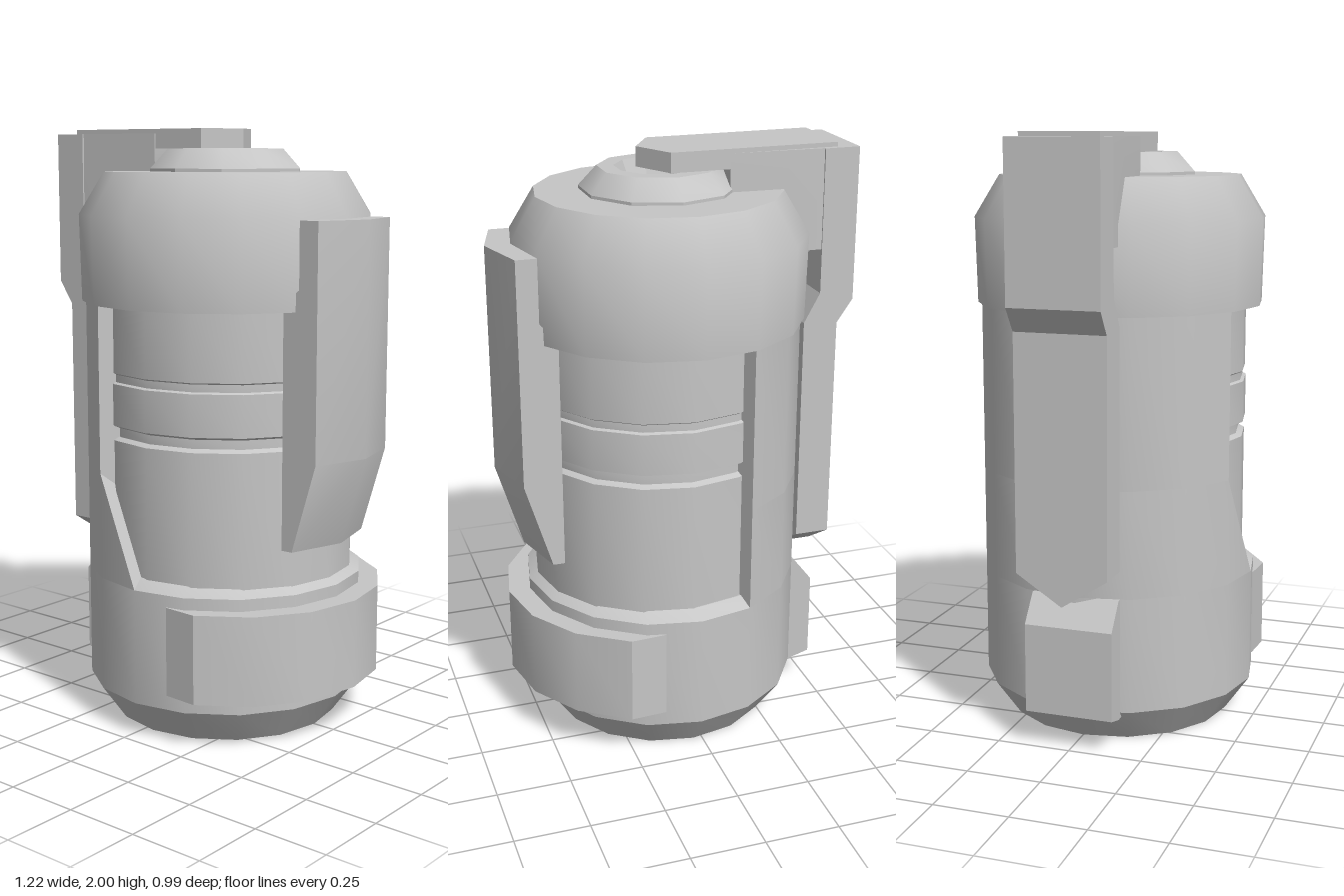
import * as THREE from 'three';
import { toCreasedNormals } from 'three/addons/utils/BufferGeometryUtils.js';

const AXIS = 0.03; // x of the body axis
const SEG = Math.PI / 8; // one facet of the 16-sided body
const BODY = 0.475; // radius of the base and shell

export function createModel() {
  const model = new THREE.Group();
  const grey = new THREE.MeshStandardMaterial({ color: 0xc6c6c6 });
  grey.name = 'grey metal';

  function add(name, geometry, x = 0, y = 0, crease = 0.5) {
    const mesh = new THREE.Mesh(toCreasedNormals(geometry, crease), grey);
    mesh.name = name;
    mesh.position.set(x, y, 0);
    model.add(mesh);
  }

  const lathe = (points, sides) =>
    new THREE.LatheGeometry(points.map(p => new THREE.Vector2(...p)), sides);

  // Moves every vertex by a rule
  function reshape(geometry, rule) {
    const pos = geometry.attributes.position;
    const v = new THREE.Vector3();
    for (let i = 0; i < pos.count; i++) {
      rule(v.fromBufferAttribute(pos, i));
      pos.setXYZ(i, v.x, v.y, v.z);
    }
    return geometry;
  }

  const extrude = (points, depth, steps = 1) => new THREE.ExtrudeGeometry(
    new THREE.Shape(points.map(p => new THREE.Vector2(...p))), { depth, steps, bevelEnabled: false });

  // Side outline in x and y, given a width along z
  const sideCut = (points, width, steps = 1) =>
    extrude(points, width, steps).translate(0, 0, -width / 2);

  // Floor outline in x and z, raised to a height
  const prism = (points, height) =>
    extrude(points.map(([x, z]) => [x, -z]), height).rotateX(-Math.PI / 2);

  // Pie wedge of facets; facet 0 is the front, facet 4 is +x
  function wedge(radius, from, to, height) {
    const points = [[0, 0]];
    for (let i = from; i <= to; i++) {
      points.push([radius * Math.sin(i * SEG), radius * Math.cos(i * SEG)]);
    }
    return prism(points, height);
  }

  // Body
  add('base', lathe([[0, 0], [0.39, 0], [BODY, 0.12], [BODY, 0.51], [0.43, 0.54], [0, 0.54]], 16), AXIS);
  add('core', lathe([[0.43, 0.5], [0.43, 0.98], [0.41, 0.99], [0.41, 1.02], [0.433, 1.03], [0.433, 1.17],
    [0.422, 1.175], [0.422, 1.2], [0.43, 1.205], [0.43, 1.45]], 16), 0.045);
  add('cap', lathe([[0, 1.43], [0.488, 1.43], [0.495, 1.72], [0.41, 1.86], [0, 1.86]], 16), AXIS, 0, 0.7);
  add('neck', lathe([[0.26, 1.85], [0.26, 1.87], [0.2, 1.935], [0.145, 1.935], [0.12, 1.875], [0, 1.875]], 10), AXIS);

  // Raised shell with a slanted lower front corner
  add('upperShell', wedge(BODY, 9, 15, 0.57), AXIS, 0.87);
  add('lowerShell', reshape(wedge(BODY, 9, 16, 0.36), v => {
    if (v.y > 0.3 && v.z > 0.1 && Math.abs(v.x) < 0.01) {
      v.x = -BODY * Math.sin(SEG);
      v.z = BODY * Math.cos(SEG);
    }
  }), AXIS, 0.51);

  // Band around the base, its ends blending into the body
  add('baseBand', reshape(wedge(0.5, 0, 8, 0.3), v => {
    if (Math.abs(v.x) < 0.01 && Math.abs(v.z) > 0.1) {
      v.x = 0.07;
      v.z = Math.sign(v.z) * 0.455;
    }
  }), 0.08, 0.17);
  add('footPad', sideCut([[-0.5, 0.12], [-0.5, 0.42], [-0.43, 0.51], [-0.3, 0.51], [-0.3, 0.1], [-0.43, 0.1]], 0.3));

  // Side plate with a soft middle ridge
  add('sidePlate', reshape(sideCut([[0.425, 0.655], [0.52, 0.655], [0.61, 0.95], [0.61, 1.715],
    [0.485, 1.715], [0.485, 1.5], [0.425, 1.45]], 0.4, 2), v => {
    if (v.x > 0.5 && Math.abs(v.z) > 0.1) v.x -= 0.055;
  }), 0, 0, 0.6);

  // Lever with a pointed lower end
  add('lever', reshape(sideCut([[-0.61, 1.985], [-0.61, 1.47], [-0.555, 1.39], [-0.555, 0.51],
    [-0.435, 0.51], [-0.435, 1.4], [-0.49, 1.5], [-0.49, 1.985]], 0.31, 2), v => {
    if (v.y < 0.6 && Math.abs(v.z) > 0.1) v.y += 0.1;
  }));
  add('leverBracket', reshape(sideCut([[-0.54, 1.985], [-0.54, 1.65], [-0.4, 1.65], [-0.2, 1.8],
    [-0.17, 1.86], [-0.17, 1.985]], 0.3), v => {
    if (v.x > -0.3) v.z *= 0.9;
  }));
  add('leverArm', prism([[-0.54, 0.13], [0.03, 0.13], [0.105, 0], [0.03, -0.135], [-0.54, -0.135]], 0.065), 0, 1.935);

  return model;
}
